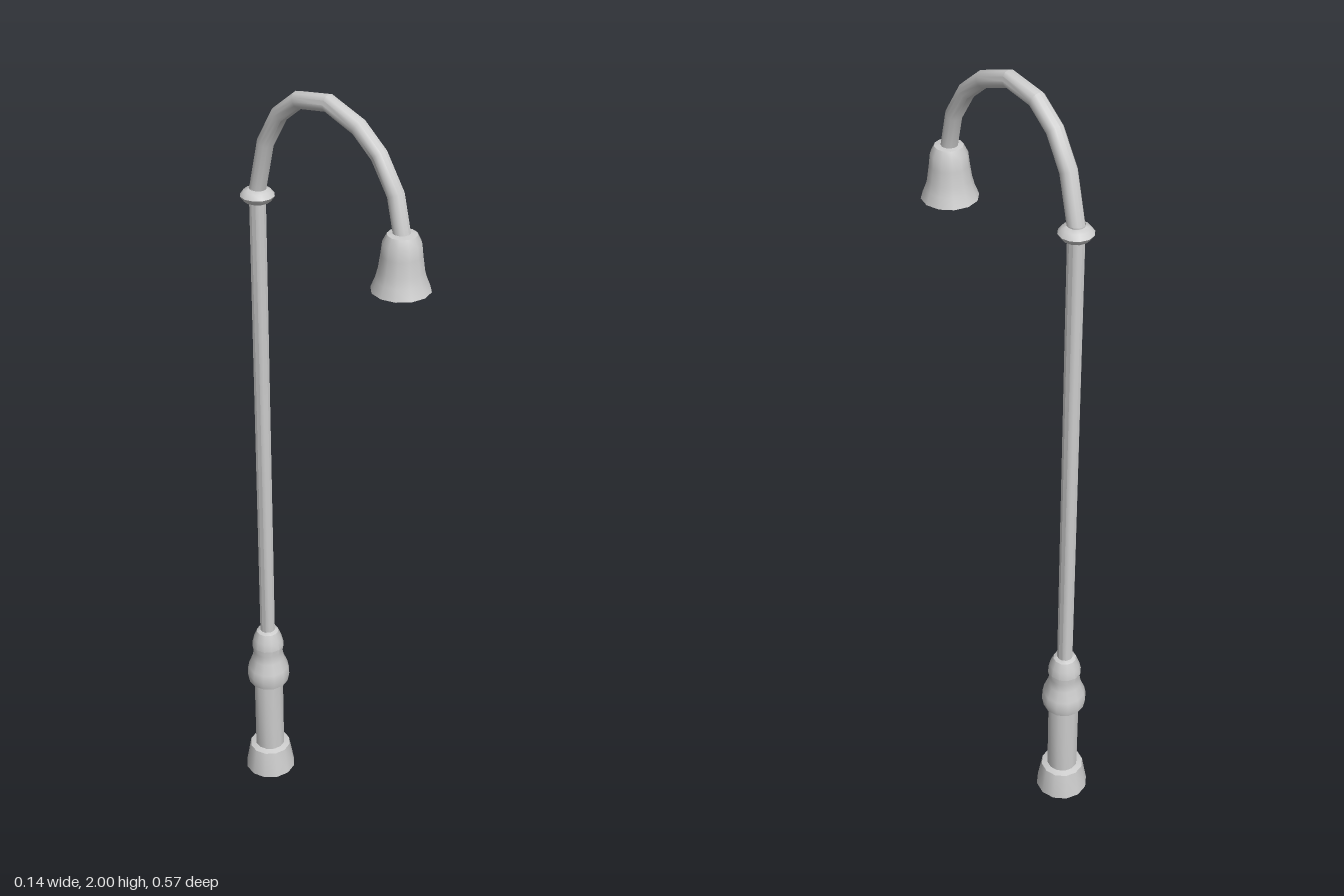
import * as THREE from 'three';
import { toCreasedNormals } from 'three/addons/utils/BufferGeometryUtils.js';

const SIDES = 12;
const POLE_Z = -0.217;
const LAMP_Z = 0.217;

const metal = new THREE.MeshStandardMaterial({ color: 0xcccccc, side: THREE.DoubleSide });

function part(name, geometry, z = 0) {
  const mesh = new THREE.Mesh(toCreasedNormals(geometry, 0.65), metal);
  mesh.name = name;
  mesh.position.z = z;
  return mesh;
}

// Turned part from [radius, height] pairs, listed bottom to top
function turned(name, profile, z) {
  const points = profile.map(([r, y]) => new THREE.Vector2(r, y));
  return part(name, new THREE.LatheGeometry(points, SIDES), z);
}

export function createModel() {
  const group = new THREE.Group();
  group.name = 'streetLamp';

  // Flared foot, open underneath
  group.add(turned('foot', [[0.068, 0], [0.055, 0.075], [0.04, 0.08]], POLE_Z));

  // Thick lower column
  group.add(turned('lowerColumn', [[0.04, 0.078], [0.04, 0.3]], POLE_Z));

  // Double swelling between column and pole
  group.add(turned('baluster', [
    [0.04, 0.295], [0.053, 0.302], [0.058, 0.328], [0.054, 0.348], [0.043, 0.377],
    [0.039, 0.4], [0.043, 0.42], [0.038, 0.442], [0.029, 0.465], [0.02, 0.47],
  ], POLE_Z));

  // Slim pole
  group.add(turned('pole', [[0.02, 0.46], [0.02, 1.73]], POLE_Z));

  // Collar where the arm starts
  group.add(turned('collar', [
    [0.02, 1.692], [0.032, 1.697], [0.041, 1.71], [0.032, 1.722], [0.02, 1.727],
  ], POLE_Z));

  // Arched arm as [z, y] stations, one tube segment per station
  const stations = [
    [-0.217, 1.72], [-0.188, 1.843], [-0.143, 1.92], [-0.085, 1.966], [0.003, 1.98],
    [0.09, 1.948], [0.148, 1.9], [0.196, 1.825], [0.217, 1.735],
  ];
  const arc = new THREE.CatmullRomCurve3(stations.map(([z, y]) => new THREE.Vector3(0, y, z)));
  arc.getPointAt = arc.getPoint;
  arc.getTangentAt = arc.getTangent;
  group.add(part('arm', new THREE.TubeGeometry(arc, stations.length - 1, 0.02, SIDES)));

  // Bell shade, open underneath
  group.add(turned('lampShade', [
    [0.068, 1.612], [0.058, 1.637], [0.052, 1.66], [0.047, 1.695],
    [0.044, 1.722], [0.034, 1.742], [0.015, 1.745],
  ], LAMP_Z));

  return group;
}
